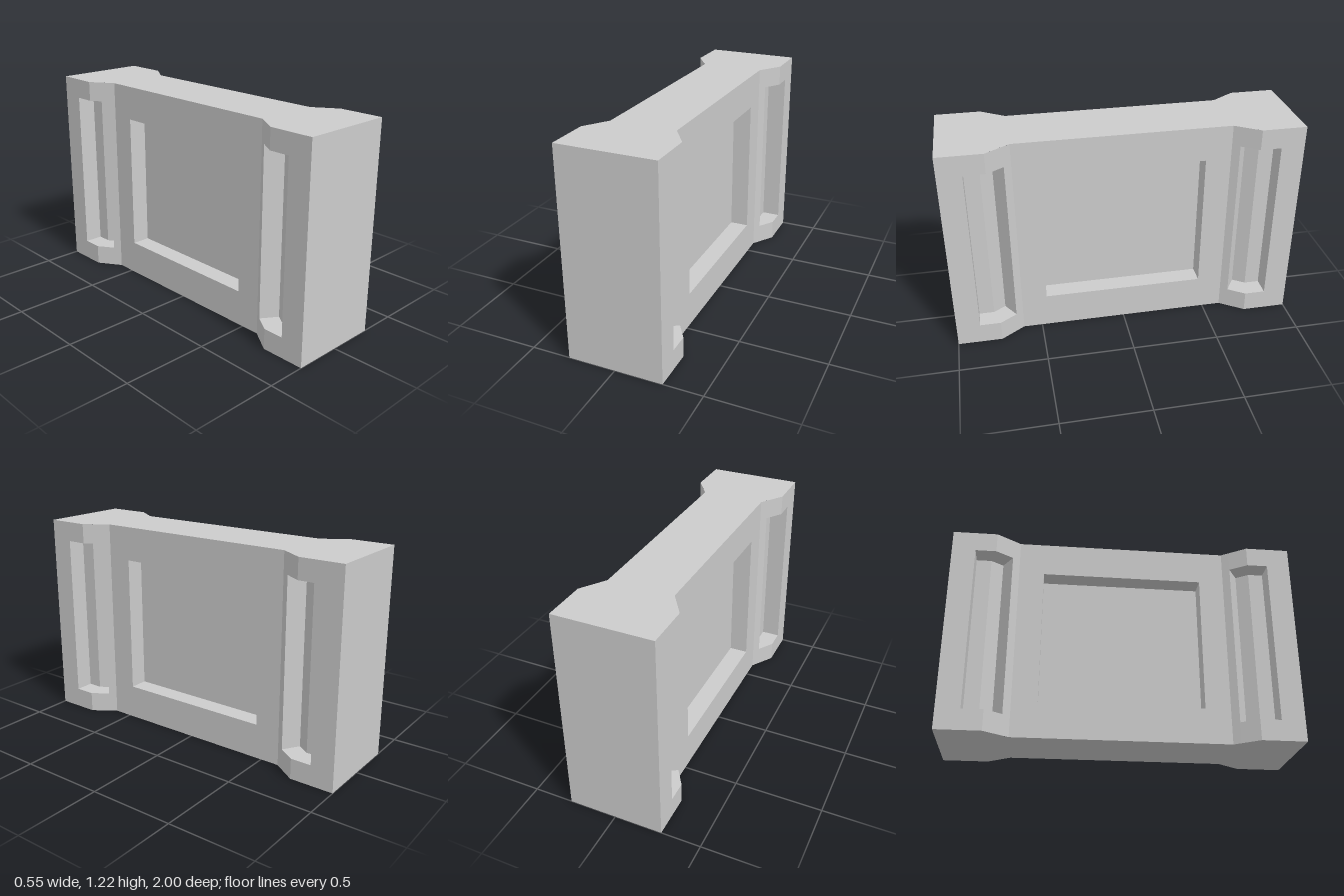
import * as THREE from 'three';

const H = 1.215;            // total height
const W = 0.275, N = 0.185; // half widths of the end blocks and the narrow middle
const BEND = 0.745, WAIST = 0.61;
const DEPTH = 0.11;         // recess depth

const material = new THREE.MeshStandardMaterial({ color: 0xcccccc, flatShading: true });

// Mesh from a list of quads, each four [x, y, z] corners counter-clockwise
function quadMesh(name, quads) {
  const positions = quads.flatMap(([a, b, c, d]) => [a, b, c, a, c, d]).flat();
  const geometry = new THREE.BufferGeometry();
  geometry.setAttribute('position', new THREE.Float32BufferAttribute(positions, 3));
  geometry.computeVertexNormals();
  const mesh = new THREE.Mesh(geometry, material);
  mesh.name = name;
  return mesh;
}

const at = ([x, z], y) => [x, y, z];

// Upright faces along a plan path of [x, z] points
function wall(path, y0, y1) {
  return path.slice(1).map((q, i) => [at(path[i], y0), at(q, y0), at(q, y1), at(path[i], y1)]);
}

// Walls, floor and ledges of a recess whose rim and floor paths match point by point
function recessMesh(name, { rim, floor, y0, y1 }) {
  const quads = wall([rim[0], ...floor, rim[rim.length - 1]], y0, y1);
  for (let i = 0; i < rim.length - 1; i++) {
    const strip = [rim[i], rim[i + 1], floor[i + 1], floor[i]];
    quads.push(strip.map(p => at(p, y0)), strip.map(p => at(p, y1)).reverse());
  }
  return quadMesh(name, quads);
}

const flip = path => path.map(([x, z]) => [x, -z]).reverse();

// One broad side with its end wall
function createSide() {
  // Slot wrapping the bend, sunk along the face normals
  const slot = {
    rim: [[W, 0.865], [W, BEND], [0.212, 0.65]],
    floor: [[W - DEPTH, 0.865], [W - DEPTH, 0.778], [0.12, 0.71]],
    y0: 0.12, y1: 1.098,
  };
  const farSlot = { ...slot, rim: flip(slot.rim), floor: flip(slot.floor) };
  const panel = {
    rim: [[N, 0.465], [N, -0.465]],
    floor: [[N - DEPTH, 0.465], [N - DEPTH, -0.465]],
    y0: 0.205, y1: 1.015,
  };

  // Full-height faces between the recesses
  const between = [[0.212, 0.65], [N, WAIST], [N, 0.465]];
  const quads = [
    [[-W, 1], [W, 1], [W, 0.865]],
    between,
    flip(between),
    [[W, -0.865], [W, -1]],
  ].flatMap(path => wall(path, 0, H));

  // Faces below and above each recess
  for (const r of [slot, panel, farSlot]) {
    quads.push(...wall(r.rim, 0, r.y0), ...wall(r.rim, r.y1, H));
  }

  const side = new THREE.Group();
  side.add(
    quadMesh('sideFace', quads),
    recessMesh('nearSlot', slot),
    recessMesh('centrePanel', panel),
    recessMesh('farSlot', farSlot),
  );
  return side;
}

// Flat top or bottom in the plan outline
function createCap(name, y, turn) {
  const half = [[W, 1], [W, BEND], [N, WAIST], [N, -WAIST], [W, -BEND], [W, -1]];
  const outline = [...half, ...half.map(([x, z]) => [-x, -z])];
  const shape = new THREE.Shape(outline.map(([x, z]) => new THREE.Vector2(x, -z)));
  const cap = new THREE.Mesh(new THREE.ShapeGeometry(shape).rotateX(turn), material);
  cap.name = name;
  cap.position.y = y;
  return cap;
}

export function createModel() {
  const model = new THREE.Group();
  model.name = 'barrierBlock';

  // The two broad sides are the same, turned half way round
  ['leftSide', 'rightSide'].forEach((name, i) => {
    const side = createSide();
    side.name = name;
    side.rotation.y = i * Math.PI;
    model.add(side);
  });

  model.add(createCap('top', H, -Math.PI / 2), createCap('bottom', 0, Math.PI / 2));
  return model;
}
